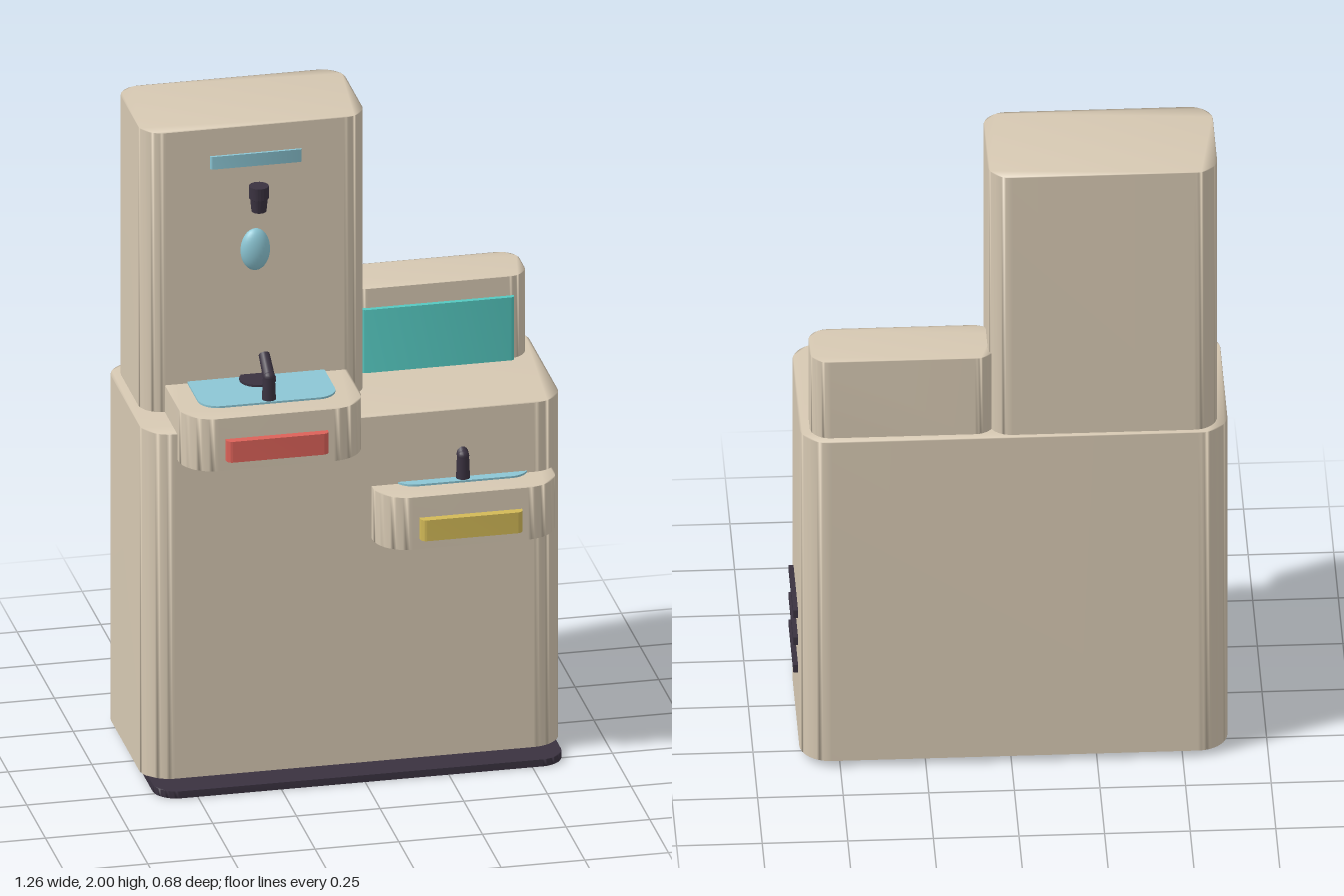
import * as THREE from 'three';
import { mergeVertices, toCreasedNormals } from 'three/addons/utils/BufferGeometryUtils.js';

const material = (name, color) => {
  const m = new THREE.MeshStandardMaterial({ color });
  m.name = name;
  return m;
};

// Upright slab with rounded vertical edges, given by its bounds.
function slab([x0, x1], [y0, y1], [z0, z1], r, soft = true) {
  const w = (x1 - x0) / 2, d = (z1 - z0) / 2;
  const s = new THREE.Shape();
  s.moveTo(-w + r, -d);
  s.lineTo(w - r, -d);
  s.absarc(w - r, -d + r, r, -Math.PI / 2, 0);
  s.lineTo(w, d - r);
  s.absarc(w - r, d - r, r, 0, Math.PI / 2);
  s.lineTo(-w + r, d);
  s.absarc(-w + r, d - r, r, Math.PI / 2, Math.PI);
  s.lineTo(-w, -d + r);
  s.absarc(-w + r, -d + r, r, Math.PI, Math.PI * 1.5);
  let g = new THREE.ExtrudeGeometry(s, { depth: y1 - y0, bevelEnabled: false, curveSegments: 8 });
  g.rotateX(-Math.PI / 2);
  g.translate((x0 + x1) / 2, y0, (z0 + z1) / 2);
  if (!soft) return toCreasedNormals(g, 0.6);
  // Share vertices so the shading runs softly over every edge.
  g.deleteAttribute('normal');
  g.deleteAttribute('uv');
  g = mergeVertices(g, 1e-4);
  g.computeVertexNormals();
  return g;
}

export function createModel() {
  const model = new THREE.Group();
  model.name = 'drinkingFountain';

  const shell = material('beigeShell', 0xd6c8b2);
  const dark = material('darkMetal', 0x3a3240);
  const blue = material('paleBlue', 0x8cc6d4);
  const teal = material('tealPanel', 0x55c8c0);
  const red = material('redButton', 0xdc6259);
  const yellow = material('yellowButton', 0xd2b957);

  const add = (name, geometry, mat, parent = model) => {
    const mesh = new THREE.Mesh(geometry, mat);
    mesh.name = name;
    parent.add(mesh);
    return mesh;
  };

  // Cabinet
  add('basePlate', slab([-0.62, 0.6], [0, 0.022], [-0.305, 0.3], 0.07), dark);
  add('cabinet', slab([-0.635, 0.615], [0.02, 1.115], [-0.343, 0.205], 0.09), shell);
  add('bottleFillerTower', slab([-0.605, 0.065], [1.1, 2], [-0.325, 0.037], 0.07), shell);
  add('backsplash', slab([0.045, 0.585], [1.1, 1.375], [-0.315, -0.13], 0.06), shell);
  add('backsplashPanel', slab([0.083, 0.54], [1.1, 1.315], [-0.16, -0.115], 0.012, false), teal);

  // Side vents
  [0.245, 0.34, 0.433].forEach((y, i) => {
    const vent = add('vent' + (i + 1), new THREE.BoxGeometry(0.04, 0.026, 0.248), dark);
    vent.position.set(0.609, y, -0.065);
  });

  // Basin with water tray, push bar and bent spout; x is its centre, top its rim
  function basin(name, x, top, back, trayWidth, barOffset, barMaterial) {
    const g = new THREE.Group();
    g.name = name;
    model.add(g);
    const span = (half, c = x) => [c - half, c + half];
    add('bowl', slab(span(0.272), [top - 0.165, top], [back, 0.315], 0.1), shell, g);
    add('waterTray', slab(span(trayWidth / 2), [top - 0.002, top + 0.006], [back + 0.02, 0.236], 0.06, false), blue, g);
    add('pushBar', slab(span(0.153, x + barOffset), [top - 0.131, top - 0.065], [0.27, 0.34], 0.018, false), barMaterial, g);

    const spout = new THREE.Group();
    spout.name = 'spout';
    spout.position.set(x, top, 0.212);
    g.add(spout);
    add('stem', new THREE.CylinderGeometry(0.018, 0.021, 0.075, 16), dark, spout).position.y = 0.0375;
    add('elbow', new THREE.SphereGeometry(0.0185, 16, 10), dark, spout).position.y = 0.075;
    const tip = add('tip', new THREE.CylinderGeometry(0.0165, 0.018, 0.078, 16), dark, spout);
    tip.rotation.x = -0.96;
    tip.position.set(0, 0.097, -0.032);
  }
  basin('upperBasin', -0.268, 1.2, -0.1, 0.41, 0, red);
  basin('lowerBasin', 0.312, 0.896, -0.02, 0.4, 0, yellow);

  // Drain under the bottle filler
  add('drain', new THREE.CylinderGeometry(0.054, 0.054, 0.012, 28), dark).position.set(-0.27, 1.207, 0.07);

  // Bottle filler nozzle
  const nozzleProfile = [[0, 0], [0.022, 0], [0.026, 0.04], [0.029, 0.042], [0.029, 0.08], [0, 0.08]];
  const nozzle = new THREE.LatheGeometry(nozzleProfile.map(([r, y]) => new THREE.Vector2(r, y)), 20);
  add('fillerNozzle', toCreasedNormals(nozzle, 0.6), dark).position.set(-0.27, 1.75, 0.087);

  // Sensor and light strip
  const sensor = add('sensor', new THREE.SphereGeometry(1, 28, 18), blue);
  sensor.scale.set(0.044, 0.066, 0.03);
  sensor.position.set(-0.27, 1.608, 0.037);
  add('lightStrip', slab([-0.405, -0.132], [1.875, 1.915], [0.02, 0.045], 0.006, false), blue);

  return model;
}
